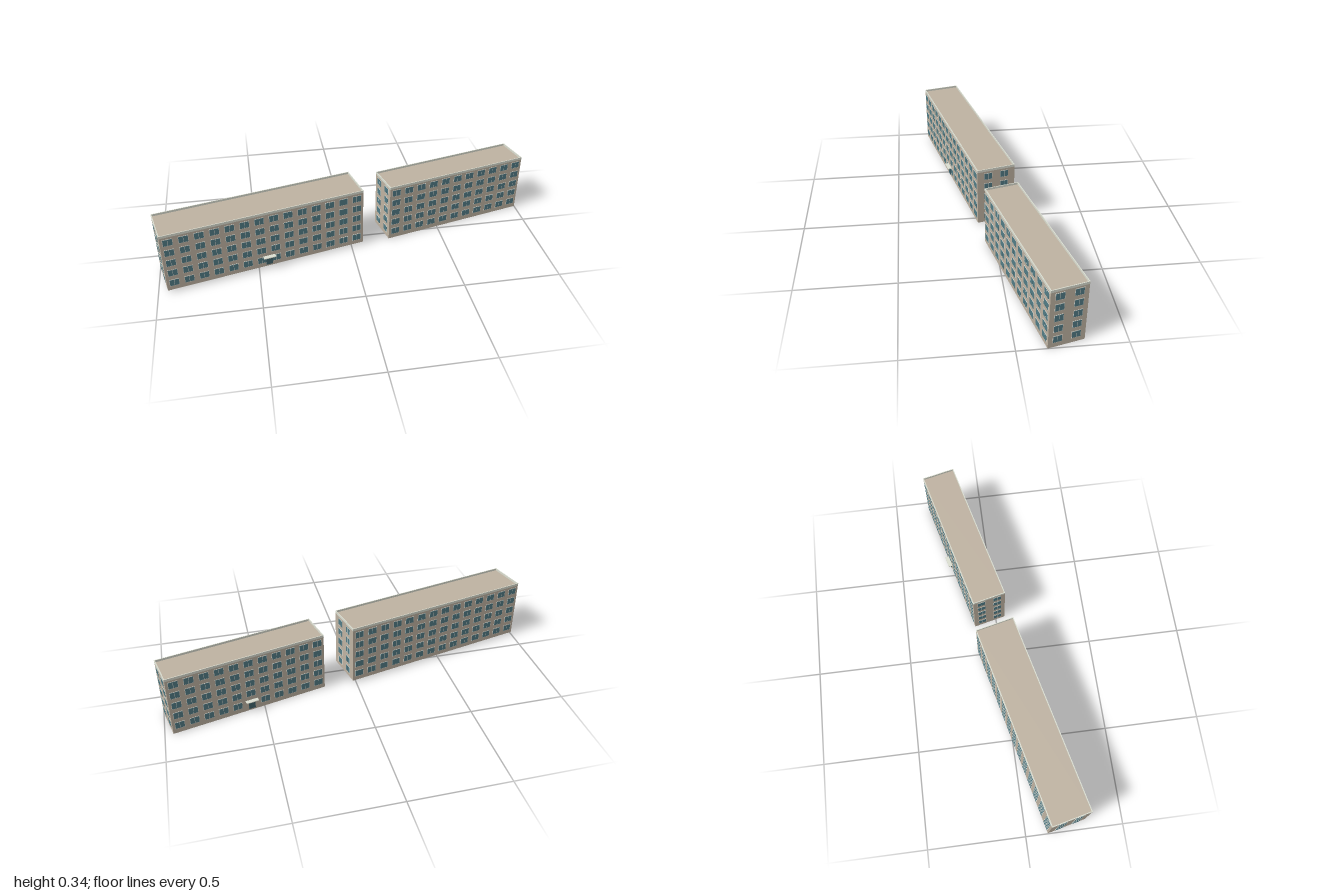
import * as THREE from 'three';
import { mergeGeometries } from 'three/addons/utils/BufferGeometryUtils.js';

const HEIGHT = 0.325, CORNICE = 0.013, LIP = 0.0008, WALL = 0.004;
const FLOORS = 5, FLOOR_STEP = 0.06, WIN_H = 0.038;

const mat = (name, color) => {
  const m = new THREE.MeshStandardMaterial({ color });
  m.name = name;
  return m;
};

// Centred rectangle, as an outline or a hole
const rect = (Type, w, h) => {
  const s = new Type();
  s.moveTo(-w / 2, -h / 2);
  s.lineTo(w / 2, -h / 2);
  s.lineTo(w / 2, h / 2);
  s.lineTo(-w / 2, h / 2);
  s.closePath();
  return s;
};

// Box given by its size and the depth range it spans, standing on y
const slab = (w, h, z0, z1, x, y) =>
  new THREE.BoxGeometry(w, h, z1 - z0).translate(x, y + h / 2, (z0 + z1) / 2);

export function createModel() {
  const mats = {
    wall: mat('beige wall', 0xbfb3a2),
    cornice: mat('pale cornice', 0xdcdfd2),
    frame: mat('window frame', 0xdcded6),
    glass: mat('teal glass', 0x527c86),
    door: mat('dark teal door', 0x41646d),
  };

  const add = (parent, name, geometry, material) => {
    const mesh = new THREE.Mesh(geometry, material);
    mesh.name = name;
    parent.add(mesh);
    return mesh;
  };

  // One wall facing +z with a grid of two-pane windows and, if asked, a central entrance
  function facade(name, width, columns, pitch, winW, sill, entrance) {
    const g = new THREE.Group();
    g.name = name;
    add(g, 'wall', slab(width, HEIGHT - CORNICE, -WALL, 0, 0, 0), mats.wall);
    const frames = [], panes = [];
    const border = 0.002, pane = (winW - 3 * border) / 2;
    for (let f = 0; f < FLOORS; f++) {
      for (let c = 0; c < columns; c++) {
        const x = (c - (columns - 1) / 2) * pitch, y = sill + f * FLOOR_STEP;
        if (entrance && f === 0 && Math.abs(x) < 0.01) continue;
        // frame reaches through the wall, panes lie on its face
        frames.push(slab(winW, WIN_H, -WALL - 0.001, 0.0014, x, y));
        for (const side of [-1, 1]) {
          panes.push(slab(pane, WIN_H - 2 * border, 0.001, 0.002,
            x + side * (pane + border) / 2, y + border));
        }
      }
    }
    add(g, 'windowFrames', mergeGeometries(frames), mats.frame);
    add(g, 'windowGlass', mergeGeometries(panes), mats.glass);
    if (entrance) {
      add(g, 'door', slab(0.034, 0.049, -WALL - 0.004, 0.004, 0, 0.01), mats.door);
      add(g, 'doorCanopy', slab(0.064, 0.004, 0, 0.022, 0, 0.059), mats.cornice);
    }
    return g;
  }

  // A whole block: four walls, recessed flat roof and cornice ring, open underneath
  function block({ name, length, width, columns, sill, door, x, y, z, angle }) {
    const g = new THREE.Group();
    g.name = name;
    for (const side of [1, -1]) {
      const long = facade(side > 0 ? 'frontWall' : 'backWall', length, columns, length / columns, 0.049, sill, door === side);
      long.position.z = side * width / 2;
      long.rotation.y = side > 0 ? 0 : Math.PI;
      const end = facade(side > 0 ? 'leftEndWall' : 'rightEndWall', width - 2 * WALL, 2, 0.088, 0.0445, sill, false);
      end.position.x = side * length / 2;
      end.rotation.y = side * Math.PI / 2;
      g.add(long, end);
    }
    const roofY = HEIGHT - CORNICE;
    add(g, 'roof', new THREE.BoxGeometry(length - 0.006, 0.004, width - 0.006), mats.wall).position.y = roofY;
    const L = length + 2 * LIP, W = width + 2 * LIP, rim = 0.008;
    const ring = rect(THREE.Shape, L, W);
    ring.holes.push(rect(THREE.Path, L - rim, W - rim));
    const cornice = add(g, 'cornice',
      new THREE.ExtrudeGeometry(ring, { depth: CORNICE, bevelEnabled: false }), mats.cornice);
    cornice.rotation.x = -Math.PI / 2;
    cornice.position.y = roofY;
    g.position.set(x, y, z);
    g.rotation.y = THREE.MathUtils.degToRad(angle);
    return g;
  }

  const model = new THREE.Group();
  model.name = 'apartmentBlocks';
  model.add(
    block({ name: 'longBlock', length: 1.043, width: 0.203, columns: 14, sill: 0.023, door: 1,
      x: -0.4675, y: 0.0135, z: 0.0935, angle: 13.1 }),
    block({ name: 'shortBlock', length: 0.811, width: 0.176, columns: 11, sill: 0.025, door: -1,
      x: 0.585, y: 0, z: -0.129, angle: 13.5 }),
  );
  return model;
}
